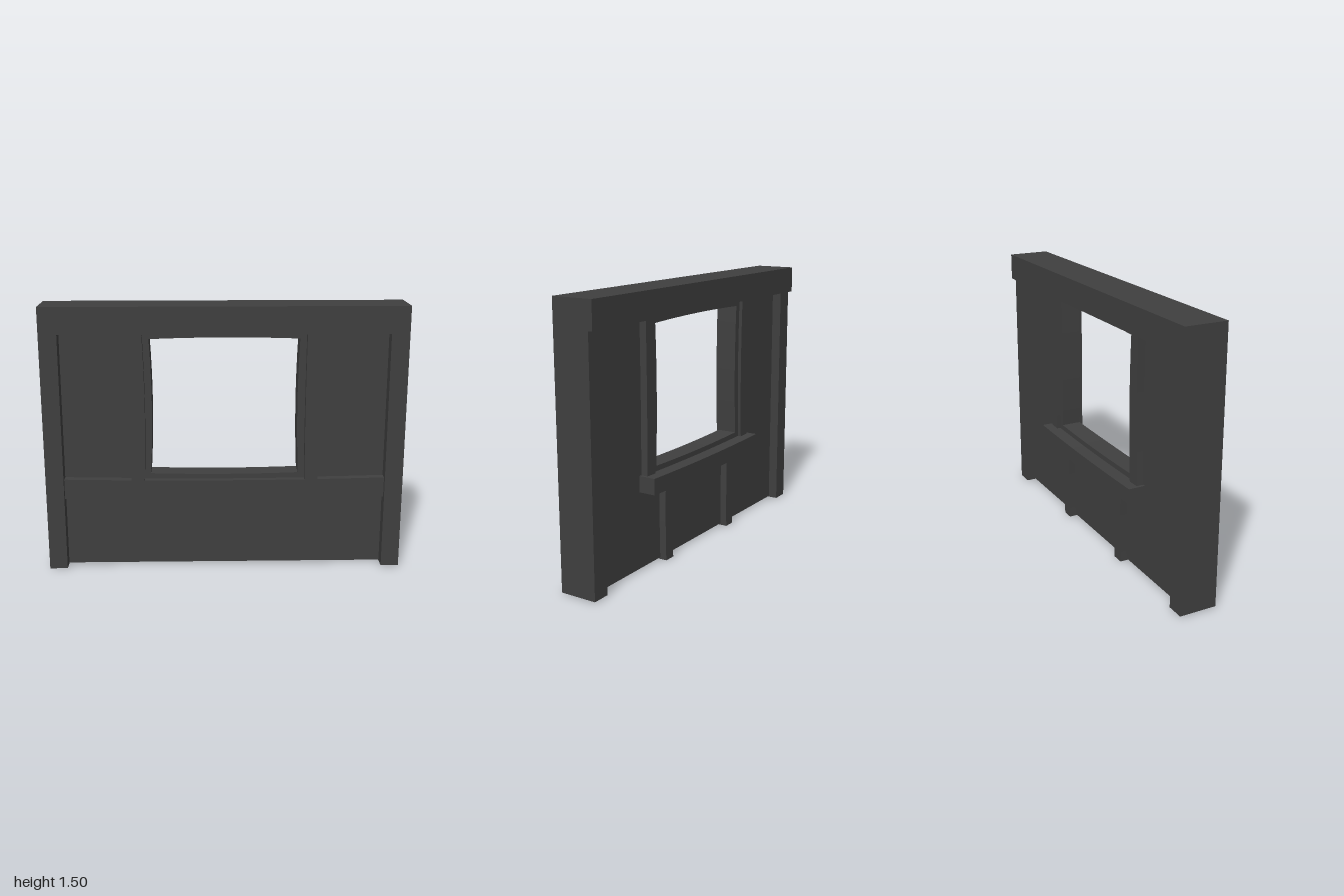
import * as THREE from 'three';

const material = new THREE.MeshStandardMaterial({ color: 0x404040, flatShading: true });

// Box given by its limits; bowX bends an upright, bowY makes a horizontal sag.
function timber(name, [x0, x1], [y0, y1], [z0, z1], { bowX = 0, bowY = 0 } = {}) {
  const w = x1 - x0, h = y1 - y0;
  const geo = new THREE.BoxGeometry(w, h, z1 - z0, bowY ? 8 : 1, bowX ? 8 : 1, 1);
  const p = geo.attributes.position;
  for (let i = 0; i < p.count; i++) {
    const u = (2 * p.getX(i)) / w, v = (2 * p.getY(i)) / h;
    p.setX(i, p.getX(i) + bowX * (1 - v * v));
    p.setY(i, p.getY(i) + bowY * (1 - u * u));
  }
  geo.translate((x0 + x1) / 2, (y0 + y1) / 2, (z0 + z1) / 2);
  geo.computeVertexNormals();
  const mesh = new THREE.Mesh(geo, material);
  mesh.name = name;
  return mesh;
}

function rectangle(Type, x, y0, y1) {
  return new Type([[-x, y0], [x, y0], [x, y1], [-x, y1]].map(([a, b]) => new THREE.Vector2(a, b)));
}

function slab(name, shape, z0, z1) {
  const geo = new THREE.ExtrudeGeometry(shape, { depth: z1 - z0, bevelEnabled: false, curveSegments: 8 });
  geo.translate(0, 0, z0);
  const mesh = new THREE.Mesh(geo, material);
  mesh.name = name;
  return mesh;
}

export function createModel() {
  const group = new THREE.Group();
  group.name = 'windowWall';

  // Infill wall with the window cut out
  const wall = rectangle(THREE.Shape, 0.92, 0.01, 1.38);
  wall.holes.push(rectangle(THREE.Path, 0.43, 0.53, 1.345));
  group.add(slab('wallPanel', wall, -0.03, 0.055));

  // Window lining with slightly warped inner edges
  const lining = rectangle(THREE.Shape, 0.46, 0.5, 1.37);
  const opening = new THREE.Path();
  opening.moveTo(-0.415, 0.555);
  opening.quadraticCurveTo(0, 0.541, 0.415, 0.555);
  opening.quadraticCurveTo(0.395, 0.94, 0.413, 1.32);
  opening.quadraticCurveTo(0, 1.336, -0.413, 1.32);
  opening.quadraticCurveTo(-0.39, 0.94, -0.415, 0.555);
  lining.holes.push(opening);
  group.add(slab('windowLining', lining, -0.05, 0.065));

  // Head beam, front rail and rear sill
  group.add(timber('headBeam', [-1, 1], [1.355, 1.505], [-0.11, 0.127]));
  group.add(timber('frontRail', [-0.91, 0.91], [0.418, 0.532], [0.04, 0.1], { bowY: -0.011 }));
  group.add(timber('rearSill', [-0.54, 0.54], [0.438, 0.528], [-0.126, -0.02], { bowY: -0.008 }));

  for (const s of [-1, 1]) {
    const side = s > 0 ? 'left' : 'right';
    const span = (a, b) => (s > 0 ? [a, b] : [-b, -a]);
    // Corner post
    group.add(timber(side + 'Post', span(0.9, 1), [0.006, 1.37], [-0.085, 0.127]));
    // Studs beside the window, front and back
    const bow = { bowX: s > 0 ? -0.003 : 0.01 };
    group.add(timber(side + 'FrontStud', span(0.45, 0.523), [0.51, 1.37], [0.04, 0.1], bow));
    group.add(timber(side + 'RearStud', span(0.45, 0.523), [0.5, 1.37], [-0.07, -0.02], bow));
    // Short stud below the rear sill
    group.add(timber(side + 'LowerStud', span(0.287, 0.355), [0, 0.45], [-0.07, -0.02], { bowX: 0.004 }));
  }
  return group;
}
